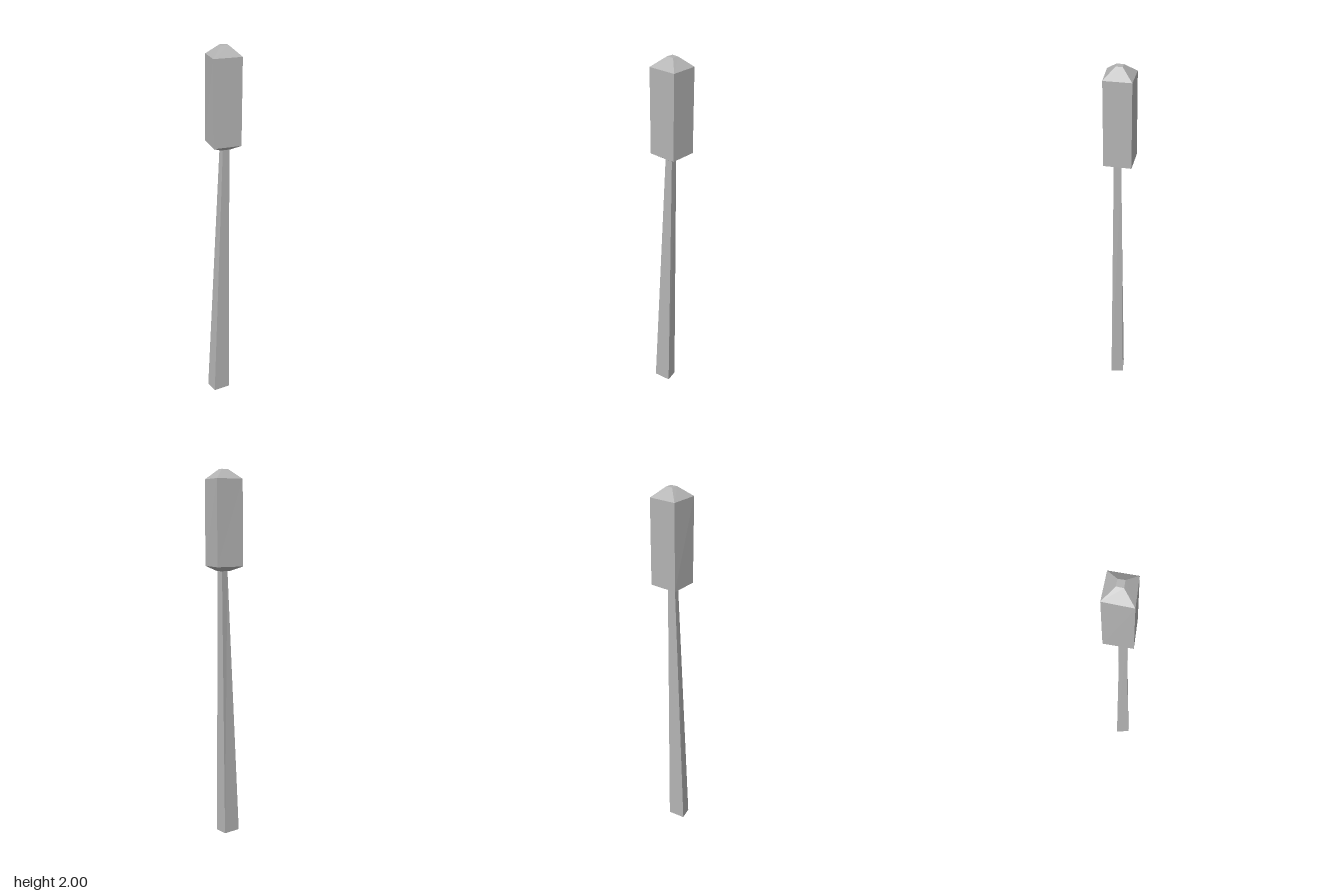
import * as THREE from 'three';

const ring = (y, ...corners) => corners.map(([x, z]) => [x, y, z]);

// Skin four-cornered cross-sections, listed bottom to top, and close both ends.
function loft(rings) {
  const pos = [];
  const quad = (a, b, c, d) => pos.push(...a, ...b, ...c, ...a, ...c, ...d);
  for (let k = 0; k < rings.length - 1; k++) {
    const lo = rings[k], up = rings[k + 1];
    for (let i = 0; i < 4; i++) {
      const j = (i + 1) % 4;
      quad(lo[i], lo[j], up[j], up[i]);
    }
  }
  quad(...rings[rings.length - 1]);
  quad(...[...rings[0]].reverse());
  const geometry = new THREE.BufferGeometry();
  geometry.setAttribute('position', new THREE.Float32BufferAttribute(pos, 3));
  geometry.computeVertexNormals();
  return geometry;
}

export function createModel() {
  const group = new THREE.Group();
  group.name = 'mallet';
  const grey = new THREE.MeshStandardMaterial({ color: 0xb4b4b4 });
  grey.name = 'plain grey';

  const add = (name, rings) => {
    const mesh = new THREE.Mesh(loft(rings), grey);
    mesh.name = name;
    group.add(mesh);
  };

  // Slightly leaning, tapered handle
  add('handle', [
    ring(0, [-0.085, -0.011], [-0.066, 0.063], [0.027, 0.045], [0.01, -0.024]),
    ring(1.49, [-0.013, -0.006], [-0.006, 0.029], [0.031, 0.022], [0.024, -0.016]),
  ]);

  // Square head with a shallow tapered underside and a hipped cap
  add('head', [
    ring(1.48, [-0.018, -0.026], [-0.018, 0.033], [0.037, 0.029], [0.036, -0.027]),
    ring(1.505, [-0.07, -0.076], [-0.067, 0.074], [0.082, 0.064], [0.081, -0.077]),
    ring(1.95, [-0.065, -0.075], [-0.067, 0.073], [0.084, 0.062], [0.082, -0.077]),
    ring(2, [-0.008, -0.021], [-0.01, 0.014], [0.028, 0.012], [0.027, -0.021]),
  ]);

  return group;
}
